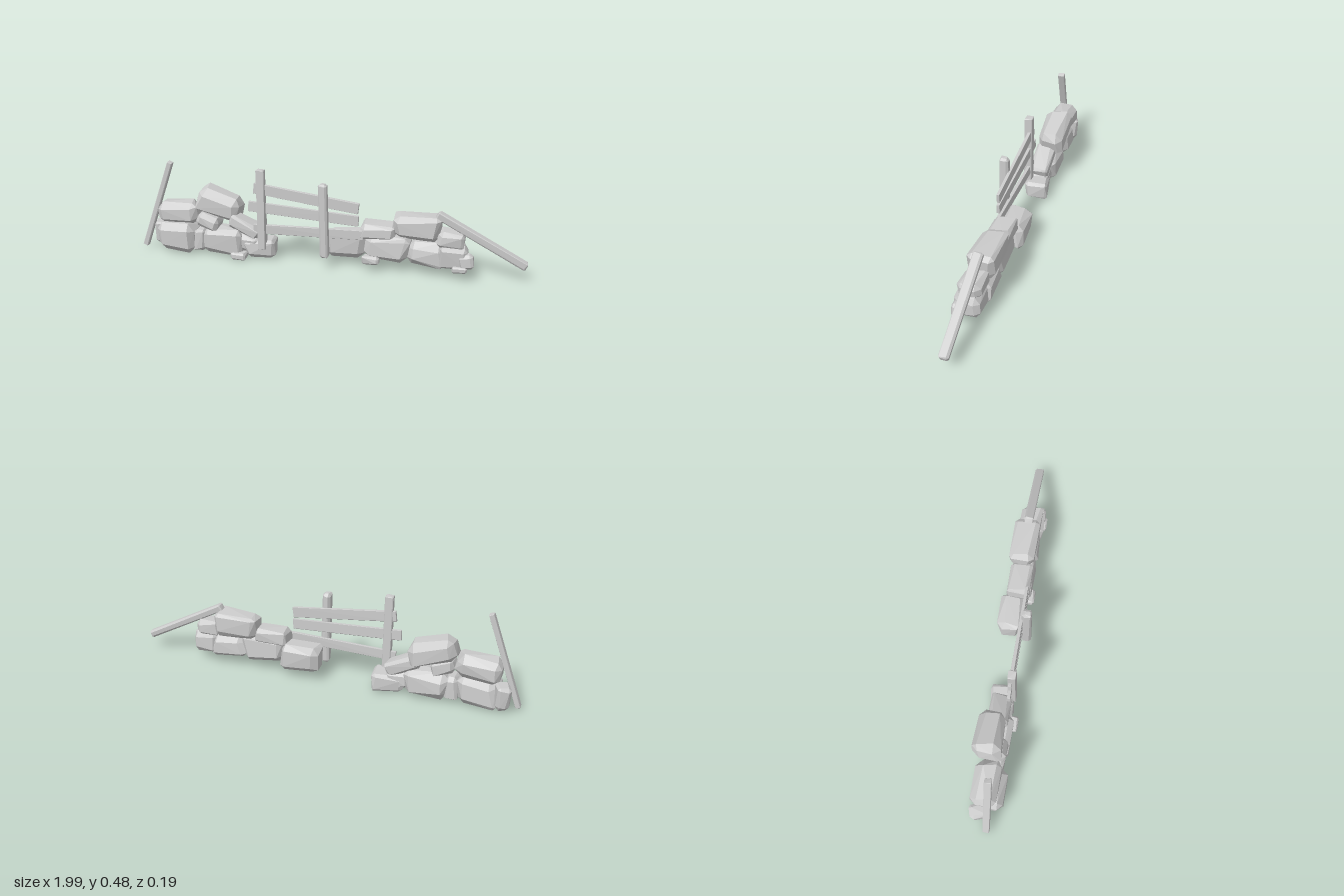
import * as THREE from 'three';
import { ConvexGeometry } from 'three/addons/geometries/ConvexGeometry.js';

const material = new THREE.MeshStandardMaterial({ color: 0xcccccc, flatShading: true });

// Small seeded generator so every stone is irregular but repeatable
let seed = 7;
function rand() {
  seed = (seed * 16807) % 2147483647;
  return seed / 2147483647;
}

// Hewn block: each corner of a box is cut by three points set in by uneven chamfers
function blockGeometry(w, h, d, cut, wobble) {
  const points = [];
  const half = [w / 2, h / 2, d / 2];
  const least = Math.min(w, h, d);
  for (const sx of [-1, 1]) for (const sy of [-1, 1]) for (const sz of [-1, 1]) {
    const sign = [sx, sy, sz];
    const chamfer = least * cut * (0.55 + 0.9 * rand());
    for (let face = 0; face < 3; face++) {
      const p = half.map((v, i) => {
        const inset = (i === face ? 0 : chamfer) + least * wobble * rand();
        return sign[i] * (v - inset);
      });
      points.push(new THREE.Vector3(...p));
    }
  }
  return new ConvexGeometry(points);
}

// Stone given by its extents in x, y, z and a tilt in degrees
function stone(name, x0, x1, y0, y1, z0, z1, tilt = 0, yaw = 0) {
  const geo = blockGeometry(x1 - x0, y1 - y0, z1 - z0, 0.2, 0.09);
  const mesh = new THREE.Mesh(geo, material);
  mesh.position.set((x0 + x1) / 2, (y0 + y1) / 2, (z0 + z1) / 2);
  mesh.rotation.set(0, THREE.MathUtils.degToRad(yaw), THREE.MathUtils.degToRad(tilt));
  mesh.name = name;
  return mesh;
}

// Rough timber running from a to b, with its width in the xy plane and depth along z
function timber(name, a, b, width, depth, cut = 0.08) {
  const start = new THREE.Vector3(...a), end = new THREE.Vector3(...b);
  const dir = end.clone().sub(start);
  const mesh = new THREE.Mesh(blockGeometry(width, dir.length(), depth, cut, 0.1), material);
  mesh.position.copy(start).add(end).multiplyScalar(0.5);
  mesh.quaternion.setFromUnitVectors(new THREE.Vector3(0, 1, 0), dir.normalize());
  mesh.name = name;
  return mesh;
}

export function createModel() {
  seed = 7;
  const model = new THREE.Group();
  model.name = 'brokenWallAndFence';

  // Stone pile on the -x side
  const rightWall = new THREE.Group();
  rightWall.name = 'rightStoneWall';
  rightWall.add(
    stone('baseStone', -0.9, -0.685, 0, 0.165, -0.07, 0.09),
    stone('baseStone', -0.66, -0.425, 0, 0.155, -0.075, 0.08),
    stone('endStone', -0.945, -0.87, 0.015, 0.145, -0.075, 0.02, 3, 20),
    stone('gapStone', -0.7, -0.63, 0.015, 0.14, -0.05, 0.06),
    stone('upperStone', -0.905, -0.675, 0.14, 0.27, -0.075, 0.06, 4),
    stone('topStone', -0.69, -0.45, 0.2, 0.33, -0.1, 0.045, -17),
    stone('wedgeStone', -0.68, -0.555, 0.14, 0.22, -0.05, 0.065, -20),
    stone('slopingStone', -0.52, -0.33, 0.12, 0.2, -0.06, 0.045, -27),
    stone('middleStone', -0.47, -0.34, 0.02, 0.125, -0.06, 0.055, -8),
    stone('cornerStone', -0.43, -0.265, 0, 0.105, -0.07, 0.055, 2, 8),
    stone('smallStone', -0.485, -0.405, 0, 0.038, 0.02, 0.09),
  );

  // Stone pile on the +x side
  const leftWall = new THREE.Group();
  leftWall.name = 'leftStoneWall';
  leftWall.add(
    stone('baseStone', 0, 0.21, 0.035, 0.185, -0.1, 0.03),
    stone('baseStone', 0.195, 0.43, 0.045, 0.19, -0.075, 0.055, -4),
    stone('baseStone', 0.405, 0.61, 0.045, 0.175, -0.08, 0.055, -3),
    stone('baseStone', 0.57, 0.72, 0.045, 0.165, -0.075, 0.06),
    stone('endStone', 0.665, 0.745, 0.055, 0.135, 0, 0.06, 8),
    stone('upperStone', 0.175, 0.355, 0.16, 0.24, -0.075, 0.045),
    stone('topStone', 0.335, 0.58, 0.165, 0.3, -0.095, 0.045),
    stone('upperStone', 0.555, 0.695, 0.145, 0.235, -0.07, 0.045, -6),
    stone('smallStone', 0.195, 0.285, 0.035, 0.085, 0.015, 0.07),
    stone('smallStone', 0.64, 0.715, 0.04, 0.072, 0.02, 0.07),
  );

  // Fence posts and sagging rails between the two walls
  const fence = new THREE.Group();
  fence.name = 'fence';
  fence.add(
    timber('fencePost', [-0.322, 0.06, 0.04], [-0.325, 0.482, 0.04], 0.046, 0.044, 0.06),
    timber('fencePost', [0.008, 0.055, 0.06], [0, 0.442, 0.06], 0.047, 0.053, 0.24),
    timber('topRail', [-0.365, 0.382, 0.033], [0.175, 0.318, 0.033], 0.056, 0.018),
    timber('middleRail', [-0.395, 0.285, 0.033], [0.175, 0.254, 0.033], 0.054, 0.018),
    timber('bottomRail', [-0.37, 0.165, 0.033], [0.2, 0.182, 0.033], 0.05, 0.018),
  );

  // Loose timbers leaning on the outer ends
  const leaning = new THREE.Group();
  leaning.name = 'leaningTimbers';
  leaning.add(
    timber('leaningPole', [-0.985, 0.012, 0.018], [-0.817, 0.48, 0.014], 0.029, 0.036),
    timber('fallenBeam', [0.552, 0.307, -0.016], [0.992, 0.076, -0.018], 0.042, 0.05, 0.15),
  );

  model.add(rightWall, leftWall, fence, leaning);
  return model;
}
